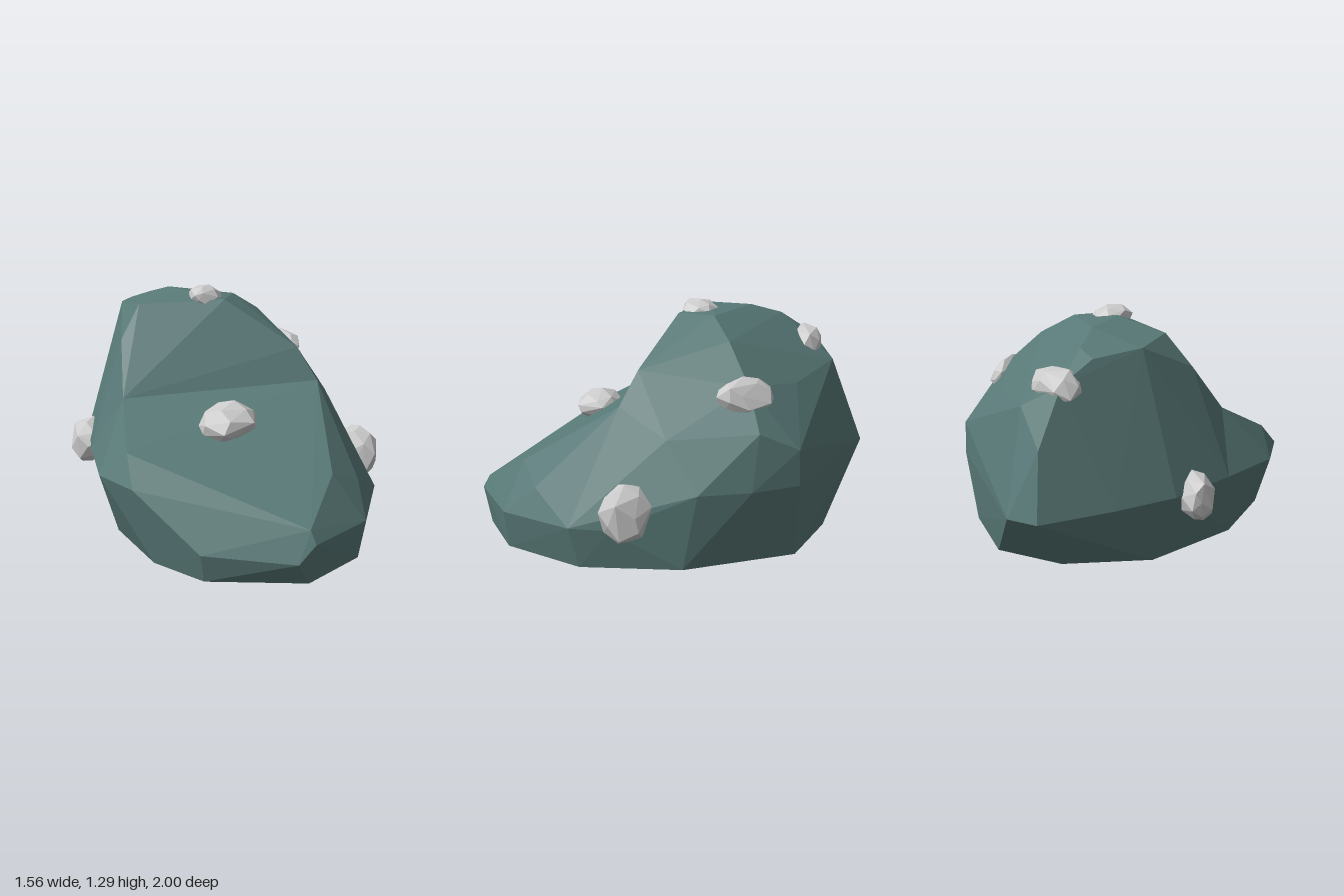
import * as THREE from 'three';
import { ConvexGeometry } from 'three/addons/geometries/ConvexGeometry.js';

const rockMaterial = new THREE.MeshStandardMaterial({ color: 0x587977, flatShading: true });
const stoneMaterial = new THREE.MeshStandardMaterial({ color: 0xcccccc, flatShading: true });

// Faceted hull around a few corner points
function hull(name, corners) {
  const points = corners.map((c) => new THREE.Vector3(...c));
  const mesh = new THREE.Mesh(new ConvexGeometry(points), rockMaterial);
  mesh.name = name;
  return mesh;
}

// Small repeatable random numbers
function seeded(seed) {
  let s = seed * 7919 + 17;
  return () => (s = (s * 16807) % 2147483647) / 2147483647;
}

// Chipped stone: the hull of points scattered over an ellipsoid
function stone(name, position, radii, seed, rotation = [0, 0, 0]) {
  const random = seeded(seed);
  const points = [];
  const count = 26;
  for (let i = 0; i < count; i++) {
    const y = 1 - (2 * (i + 0.5)) / count;
    const a = i * 2.4 + random() * 0.6;
    const r = Math.sqrt(1 - y * y);
    const k = 0.9 + random() * 0.2;
    points.push(new THREE.Vector3(Math.cos(a) * r * radii[0] * k, y * radii[1] * k, Math.sin(a) * r * radii[2] * k));
  }
  const mesh = new THREE.Mesh(new ConvexGeometry(points), stoneMaterial);
  mesh.name = name;
  mesh.position.set(...position);
  mesh.rotation.set(...rotation);
  return mesh;
}

export function createModel() {
  const group = new THREE.Group();
  group.name = 'boulder';

  // Corners shared by both halves: widest ring at the back and sides, and the saddle of the slope
  const waist = [
    [0.08, 0.51, -1], [0.23, 0.51, -0.98], [0.77, 0.5, -0.3], [0.78, 0.5, -0.05], [0.73, 0.5, 0.2],
    [-0.2, 0.51, -0.77], [-0.43, 0.51, -0.55], [-0.62, 0.51, -0.24],
  ];
  const saddle = [[-0.54, 0.8, -0.06], [0.32, 0.84, 0.43], [0.55, 0.72, 0.28]];

  // Broad foot with the long front toe
  group.add(hull('lowerRock', [
    ...waist, ...saddle,
    // underside
    [-0.1, 0, 0.45], [0.22, 0, 0.3], [0.1, 0, -0.2], [-0.2, 0.01, 0],
    [-0.4, 0.04, 0.3], [0.47, 0.04, 0.1], [0, 0.03, 0.7], [0.1, 0.03, -0.43],
    // lower rim
    [-0.28, 0.12, 0.96], [0.08, 0.12, 0.94], [0.45, 0.12, 0.68], [0.68, 0.13, 0.25], [0.71, 0.13, -0.32],
    [0.45, 0.14, -0.63], [0.1, 0.14, -0.67], [-0.3, 0.12, -0.47], [-0.6, 0.12, -0.05],
    [-0.68, 0.12, 0.35], [-0.62, 0.12, 0.64],
    // toe and shoulders
    [-0.28, 0.32, 0.995], [-0.28, 0.38, 0.96], [-0.36, 0.24, 0.97], [0.1, 0.31, 0.96],
    [0.45, 0.32, 0.73], [0.55, 0.32, 0.56], [-0.65, 0.26, 0.65], [0, 0.53, 0.83], [0.2, 0.45, 0.82],
    [-0.78, 0.5, 0.07], [-0.77, 0.5, 0.32], [-0.71, 0.63, 0.2],
  ]));

  // Summit, leaning to the back
  group.add(hull('upperRock', [
    ...waist, ...saddle, [0, 0.3, 0.3],
    [0.28, 1.0, 0.32], [0.16, 1.12, 0.16], [0.05, 1.23, 0.02],
    [-0.29, 1.21, -0.25], [-0.42, 1.05, -0.23], [-0.24, 1.19, -0.47], [-0.06, 1.17, -0.64],
    [-0.04, 1.265, -0.2], [0.02, 1.25, -0.4], [0.02, 1.2, -0.58], [0.04, 1.08, -0.77],
    [0.1, 0.82, -0.91], [0.23, 0.97, -0.78], [0.22, 1.23, -0.1], [0.4, 1.13, -0.1], [0.6, 0.95, -0.11],
    [0.48, 0.92, -0.43], [0.74, 0.76, -0.1], [0.76, 0.67, -0.3],
  ]));

  // Pale stones stuck to the surface
  group.add(stone('slopeStone', [-0.22, 0.72, 0.36], [0.15, 0.09, 0.13], 1, [0, 0, 0.15]));
  group.add(stone('summitStone', [0.02, 1.235, -0.1], [0.1, 0.06, 0.1], 2));
  group.add(stone('backStone', [0.09, 1.05, -0.69], [0.15, 0.09, 0.1], 3, [0, -0.55, 0]));
  group.add(stone('sideUpperStone', [0.59, 0.9, -0.1], [0.07, 0.1, 0.15], 5, [0, 0, 0.4]));
  group.add(stone('sideLowerStone', [0.59, 0.41, 0.49], [0.09, 0.16, 0.13], 6, [0, 0, 0.1]));
  group.add(stone('backSideStone', [-0.51, 0.48, -0.44], [0.085, 0.13, 0.11], 7, [0, 0, -0.1]));

  return group;
}
